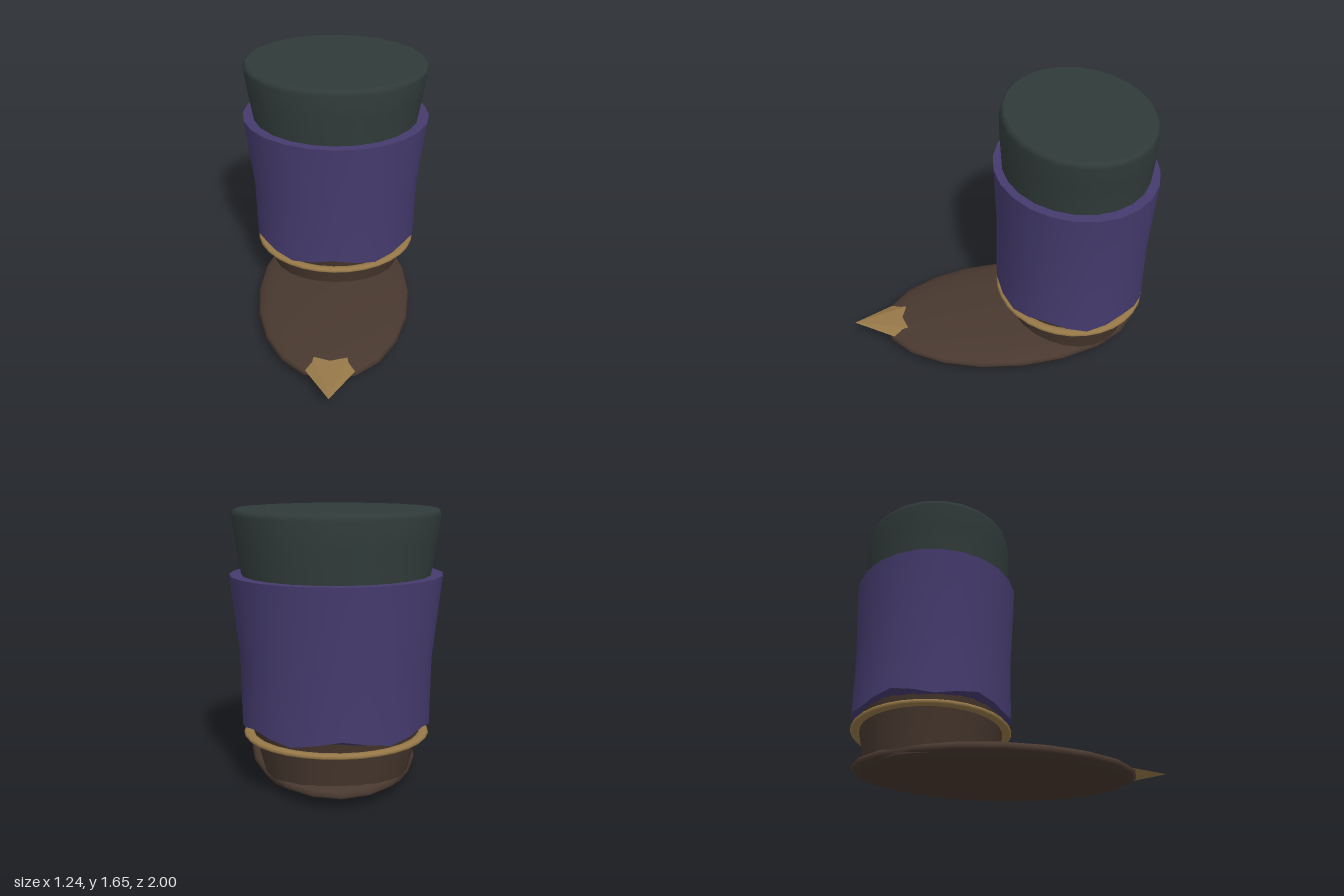
import * as THREE from 'three';

const mat = (name, color) => {
  const m = new THREE.MeshStandardMaterial({ color });
  m.name = name;
  return m;
};

// Skin elliptical rings [y, rx, rz], listed bottom to top; y may be a function of angle
function loft(rings, n = 24) {
  const pos = [], idx = [];
  rings.forEach(([y, rx, rz], j) => {
    for (let i = 0; i < n; i++) {
      const a = (i / n) * Math.PI * 2;
      pos.push(rx * Math.sin(a), typeof y === 'function' ? y(a) : y, rz * Math.cos(a));
      if (j === 0) continue;
      const k = (i + 1) % n, lo = (j - 1) * n, hi = j * n;
      idx.push(lo + i, lo + k, hi + k, lo + i, hi + k, hi + i);
    }
  });
  const g = new THREE.BufferGeometry();
  g.setAttribute('position', new THREE.Float32BufferAttribute(pos, 3));
  g.setIndex(idx);
  g.computeVertexNormals();
  return g;
}

export function createModel() {
  const model = new THREE.Group();
  model.name = 'boot';
  const trouser = mat('dark green cloth', 0x303b39);
  const purple = mat('purple cloth', 0x453b6e);
  const leather = mat('brown leather', 0x48382f);
  const gold = mat('gold', 0x967848);

  const add = (parent, name, geo, material) => {
    const m = new THREE.Mesh(geo, material);
    m.name = name;
    parent.add(m);
    return m;
  };

  // Everything around the leg shares one vertical axis
  const shaft = new THREE.Group();
  shaft.name = 'shaft';
  shaft.position.z = -0.48;
  model.add(shaft);

  // Trouser leg with a softly rounded top edge
  add(shaft, 'leg', loft([
    [0.5, 0.5, 0.45], [1.28, 0.552, 0.464], [1.48, 0.585, 0.478],
    [1.62, 0.605, 0.474], [1.645, 0.6, 0.466], [1.655, 0.585, 0.452],
  ]), trouser);
  add(shaft, 'legTop', loft([[1.655, 0.585, 0.452], [1.655, 0, 0]]), trouser);

  // Cuff: outer wall with a scalloped hem, flat rim and sloping underside
  const hem = (a) => 0.393 + 0.024 * Math.cos(6 * a);
  const cuff = new THREE.Group();
  cuff.name = 'cuff';
  shaft.add(cuff);
  add(cuff, 'cuffWall', loft([
    [hem, 0.562, 0.496], [0.8, 0.568, 0.494], [1.28, 0.622, 0.517],
  ]), purple);
  add(cuff, 'cuffRim', loft([[1.28, 0.622, 0.517], [1.28, 0.54, 0.455]]), purple);
  add(cuff, 'cuffUnderside', loft([[0.383, 0.5, 0.44], [hem, 0.562, 0.496]]), purple);

  // Ankle flaring up into the cuff
  add(shaft, 'ankle', loft([
    [0.06, 0.425, 0.385], [0.2, 0.46, 0.415], [0.45, 0.53, 0.468],
  ]), leather);

  // Flattened gold band around the ankle
  const band = new THREE.TorusGeometry(1, 0.066, 8, 32);
  band.rotateX(Math.PI / 2);
  band.scale(0.521, 0.25, 0.465);
  add(shaft, 'ankleBand', band, gold).position.y = 0.325;

  // Flat oval foot
  const foot = new THREE.SphereGeometry(1, 20, 14);
  foot.scale(0.525, 0.0875, 0.88);
  add(model, 'foot', foot, leather).position.set(0, 0.0875, -0.08);

  // Six-sided toe spike, sloping back into the foot
  const spike = new THREE.ConeGeometry(1, 0.45, 6).toNonIndexed();
  spike.rotateY(Math.PI / 2);
  spike.rotateX(Math.PI / 2);
  spike.rotateZ(Math.PI / 2);
  const p = spike.attributes.position;
  // Put a corner on each side whatever the turn, then flatten and tilt
  let widest = 0;
  for (let i = 0; i < p.count; i++) widest = Math.max(widest, p.getX(i));
  if (widest < 0.95) spike.rotateZ(Math.PI / 6);
  for (let i = 0; i < p.count; i++) {
    const back = 0.225 - p.getZ(i);
    p.setXYZ(i, p.getX(i) * 0.27, 0.125 - 0.073 * back + p.getY(i) * 0.048, 1 - back);
  }
  spike.computeVertexNormals();
  add(model, 'toeSpike', spike, gold);

  return model;
}
